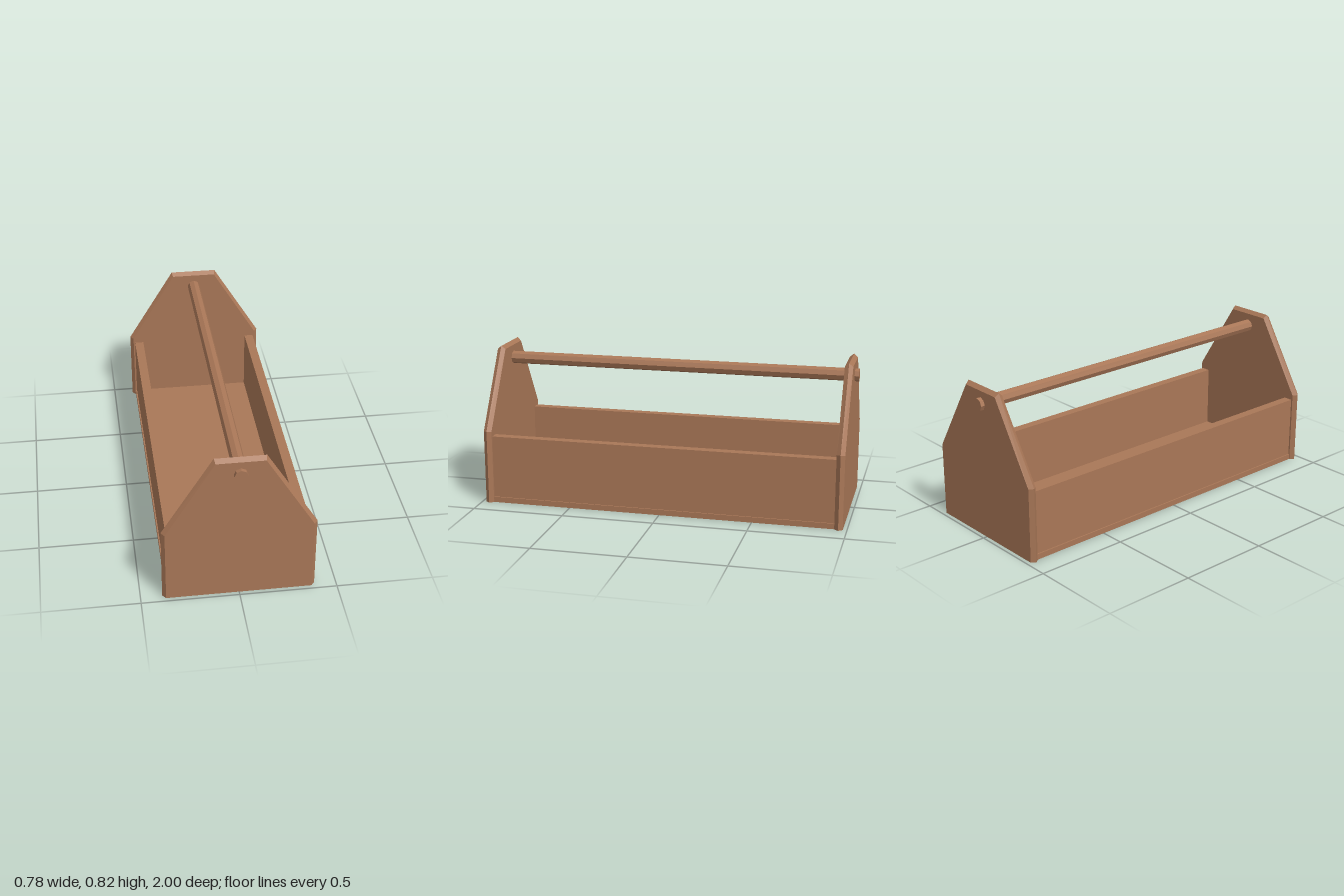
import * as THREE from 'three';

const wood = new THREE.MeshStandardMaterial({ color: 0xa97757, flatShading: true });
wood.name = 'wood';

// Gabled end board whose edges rise to a ridge halfway through its thickness
function endBoardGeometry(thickness) {
  const outline = [[-0.372, 0], [0.372, 0], [0.372, 0.4], [0.122, 0.807], [-0.122, 0.807], [-0.372, 0.4]];
  const shape = new THREE.Shape(outline.map(([x, y]) => new THREE.Vector2(x, y)));
  const geometry = new THREE.ExtrudeGeometry(shape, { depth: thickness, steps: 2, bevelEnabled: false });
  geometry.translate(0, 0, -thickness / 2);
  const p = geometry.attributes.position;
  for (let i = 0; i < p.count; i++) {
    if (Math.abs(p.getZ(i)) > 0.001) continue;
    const y = p.getY(i);
    p.setX(i, p.getX(i) * 1.048);
    p.setY(i, y > 0.5 ? y + 0.018 : y > 0.1 ? y + 0.003 : 0);
  }
  geometry.computeVertexNormals();
  return geometry;
}

export function createModel() {
  const model = new THREE.Group();
  model.name = 'toolCarrier';

  const add = (name, geometry, x, y, z) => {
    const mesh = new THREE.Mesh(geometry, wood);
    mesh.name = name;
    mesh.position.set(x, y, z);
    model.add(mesh);
    return mesh;
  };

  // End boards
  const endBoard = endBoardGeometry(0.044);
  add('frontEndBoard', endBoard, 0, 0, 0.956);
  add('backEndBoard', endBoard, 0, 0, -0.956);

  // Floor, standing slightly proud of the side boards
  const length = 1.87;
  add('floor', new THREE.BoxGeometry(0.74, 0.03, length), 0, 0.015, 0);

  // Side boards
  const sideBoard = new THREE.BoxGeometry(0.05, 0.342, length);
  add('leftSideBoard', sideBoard, 0.338, 0.201, 0);
  add('rightSideBoard', sideBoard, -0.338, 0.201, 0);

  // Eight-sided handle bar passing through both end boards
  const handle = new THREE.CylinderGeometry(0.035, 0.035, 2, 8);
  handle.rotateX(Math.PI / 2);
  add('handleBar', handle, 0, 0.738, 0);

  return model;
}
